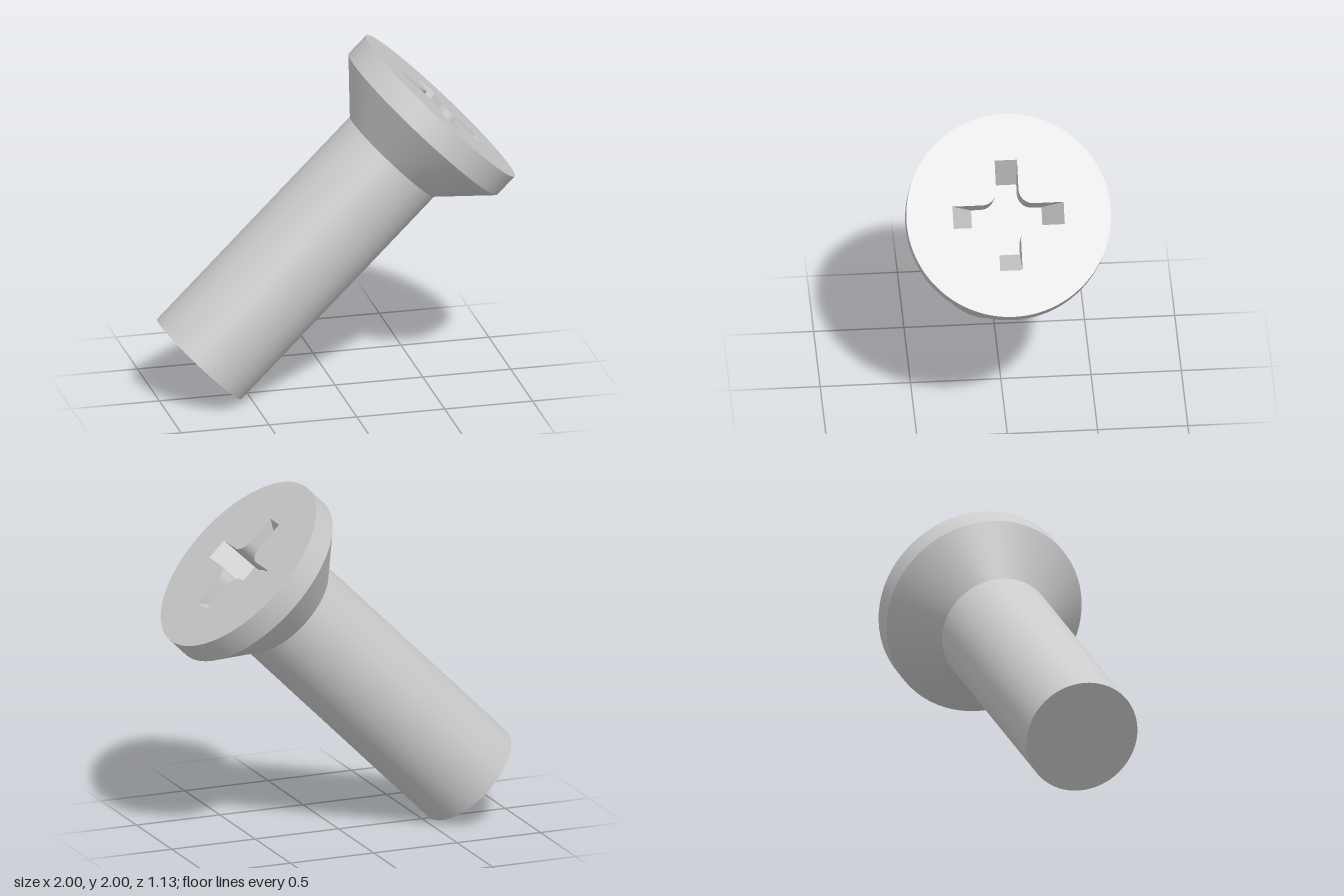
import * as THREE from 'three';
import { toCreasedNormals } from 'three/addons/utils/BufferGeometryUtils.js';

const SEGMENTS = 72;
const HEAD_R = 0.566, RIM = 0.141, NECK = 0.389, SHANK_R = 0.321, LENGTH = 1.941;
const ARM = 0.308, ARM_FLOOR = 0.195, HALF_W = 0.062, FILLET = 0.08, DEPTH = 0.195;

// Outline of the cross slot with rounded inner corners, counter-clockwise
function crossOutline(arm) {
  const points = [];
  const centre = HALF_W + FILLET;
  for (let k = 0; k < 4; k++) {
    const quarter = [new THREE.Vector2(arm, -HALF_W), new THREE.Vector2(arm, HALF_W)];
    for (let i = 0; i <= 8; i++) {
      const a = -Math.PI / 2 - (i / 8) * (Math.PI / 2);
      quarter.push(new THREE.Vector2(centre + FILLET * Math.cos(a), centre + FILLET * Math.sin(a)));
    }
    quarter.forEach(p => points.push(p.rotateAround(new THREE.Vector2(), k * Math.PI / 2)));
  }
  return points;
}

// Inward-facing walls between the slot's mouth and its shorter floor
function slotWalls(top, bottom) {
  const positions = [];
  top.forEach((t, i) => {
    const j = (i + 1) % top.length;
    const ti = [t.x, t.y, 0], tj = [top[j].x, top[j].y, 0];
    const bi = [bottom[i].x, bottom[i].y, -DEPTH], bj = [bottom[j].x, bottom[j].y, -DEPTH];
    positions.push(...bi, ...tj, ...bj, ...bi, ...ti, ...tj);
  });
  const geometry = new THREE.BufferGeometry();
  geometry.setAttribute('position', new THREE.Float32BufferAttribute(positions, 3));
  return toCreasedNormals(geometry, 0.5);
}

export function createModel() {
  const material = new THREE.MeshStandardMaterial({ color: 0xcccccc });
  const screw = new THREE.Group();
  screw.name = 'countersunkScrew';
  const add = (name, geometry) => {
    const mesh = new THREE.Mesh(geometry, material);
    mesh.name = name;
    screw.add(mesh);
  };
  const lathe = profile => toCreasedNormals(
    new THREE.LatheGeometry(profile.map(([r, y]) => new THREE.Vector2(r, y)), SEGMENTS), 0.5);

  // Shank with closed end, then the conical head and its rim
  add('shank', lathe([[0, -LENGTH], [SHANK_R, -LENGTH], [SHANK_R, -NECK]]));
  add('headSides', lathe([[SHANK_R, -NECK], [HEAD_R, -RIM], [HEAD_R, 0]]));

  // Flat head face with the cross cut out
  const mouth = crossOutline(ARM), floor = crossOutline(ARM_FLOOR);
  const face = new THREE.Shape().absarc(0, 0, HEAD_R, 0, Math.PI * 2);
  face.holes.push(new THREE.Path(mouth));
  add('headFace', new THREE.ShapeGeometry(face, SEGMENTS).rotateX(-Math.PI / 2));

  // Cross slot: sloped arm ends and a flat floor
  add('slotWalls', slotWalls(mouth, floor).rotateX(-Math.PI / 2));
  add('slotFloor', new THREE.ShapeGeometry(new THREE.Shape(floor))
    .translate(0, 0, -DEPTH).rotateX(-Math.PI / 2));

  // Lean the screw so the head points up and to the side
  screw.rotation.z = -Math.PI / 4;
  screw.position.set(0.6, 1.6, 0);

  const model = new THREE.Group();
  model.name = 'screwModel';
  model.add(screw);
  return model;
}
